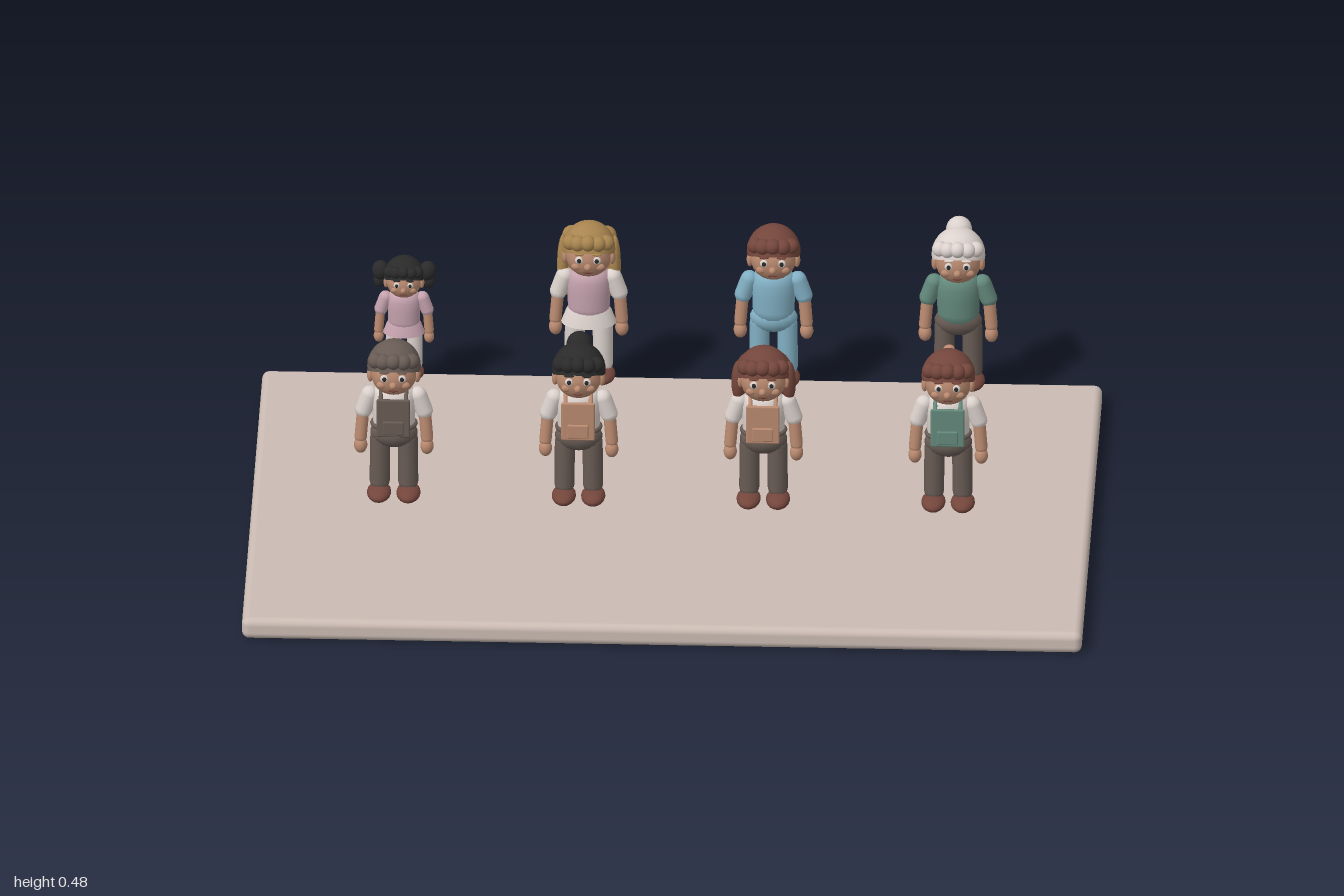
import * as THREE from 'three';
import { RoundedBoxGeometry } from 'three/addons/geometries/RoundedBoxGeometry.js';

const mat = (name, color, extra = {}) => {
  const m = new THREE.MeshStandardMaterial({ color, ...extra });
  m.name = name;
  return m;
};

export function createModel() {
  const two = { side: THREE.DoubleSide };
  const M = {
    base: mat('base beige', 0xcbbbb3),
    skin: mat('skin', 0xba8a70),
    auburn: mat('auburn', 0x74463c, two),
    taupe: mat('taupe', 0x685b54, two),
    black: mat('black', 0x2a2a2b, two),
    blond: mat('blond', 0xa8844f, two),
    white: mat('off white', 0xdcd2cd, two),
    green: mat('sage green', 0x64897c),
    blue: mat('soft blue', 0x82b0c4),
    pink: mat('dusty pink', 0xc6a3af, two),
  };
  const sphere = new THREE.SphereGeometry(1, 16, 11);

  const add = (g, name, geo, m, p = [0, 0, 0]) => {
    const mesh = new THREE.Mesh(geo, m);
    mesh.name = name;
    mesh.position.set(...p);
    g.add(mesh);
    return mesh;
  };
  const ball = (g, name, m, p, s) => {
    const mesh = add(g, name, sphere, m, p);
    mesh.scale.set(...(Array.isArray(s) ? s : [s, s, s]));
    return mesh;
  };
  // Rounded limb between two points
  const limb = (g, name, m, a, b, r) => {
    const A = new THREE.Vector3(...a), B = new THREE.Vector3(...b);
    const d = B.clone().sub(A);
    const mesh = add(g, name, new THREE.CapsuleGeometry(r, d.length(), 4, 12), m);
    mesh.position.copy(A).add(B).multiplyScalar(0.5);
    mesh.quaternion.setFromUnitVectors(new THREE.Vector3(0, 1, 0), d.normalize());
  };
  const lathe = (pts) => new THREE.LatheGeometry(pts.map(([x, y]) => new THREE.Vector2(x, y)), 24);

  const torsoGeo = lathe([[0, 0.17], [0.046, 0.172], [0.05, 0.2], [0.051, 0.24], [0.053, 0.27], [0.045, 0.293], [0.022, 0.304], [0, 0.305]]);
  const skirtGeo = lathe([[0.066, 0.155], [0.055, 0.185], [0.046, 0.2]]);
  const capGeo = new THREE.SphereGeometry(1, 24, 10, 0, Math.PI * 2, 0, Math.PI * 0.56);
  const panelGeo = new RoundedBoxGeometry(0.08, 0.1, 0.009, 2, 0.004);
  const pocketGeo = new RoundedBoxGeometry(0.05, 0.035, 0.008, 2, 0.003);

  function head(g, hair) {
    add(g, 'neck', new THREE.CylinderGeometry(0.02, 0.022, 0.04, 16), M.skin, [0, 0.3, 0]);
    ball(g, 'head', M.skin, [0, 0.338, 0.004], [0.056, 0.056, 0.054]);
    ball(g, 'nose', M.skin, [0, 0.329, 0.06], 0.009);
    ball(g, 'mouth', M.auburn, [0, 0.311, 0.051], [0.012, 0.003, 0.003]);
    for (const s of [-1, 1]) {
      ball(g, 'ear', M.skin, [s * 0.056, 0.333, 0.008], [0.008, 0.019, 0.011]);
      ball(g, 'eyeWhite', M.white, [s * 0.021, 0.344, 0.052], [0.01, 0.01, 0.005]);
      ball(g, 'pupil', M.black, [s * 0.021, 0.344, 0.056], [0.005, 0.006, 0.003]);
      ball(g, 'eyebrow', hair, [s * 0.021, 0.36, 0.053], [0.012, 0.003, 0.004]);
      ball(g, 'cheek', M.skin, [s * 0.028, 0.324, 0.046], [0.012, 0.009, 0.007]);
    }
  }

  function hairdo(g, m, style) {
    const cap = add(g, 'hairCap', capGeo, m, [0, 0.35, -0.004]);
    cap.scale.set(0.064, 0.066, 0.06);
    cap.rotation.x = -0.42;
    // Scalloped fringe
    for (let i = -2; i <= 2; i++) {
      const a = i * 0.46;
      ball(g, 'fringeCurl', m, [Math.sin(a) * 0.054, 0.385 - Math.abs(i) * 0.003, Math.cos(a) * 0.042 + 0.001], 0.019);
    }
    if (style === 'bun') ball(g, 'bun', m, [0, 0.397, -0.044], 0.031);
    if (style === 'long') {
      ball(g, 'longHair', m, [0, 0.33, -0.027], [0.074, 0.076, 0.036]);
      for (const s of [-1, 1]) ball(g, 'sideHair', m, [s * 0.06, 0.325, -0.005], [0.017, 0.055, 0.022]);
    }
    if (style === 'veryLong') {
      add(g, 'longHair', new RoundedBoxGeometry(0.13, 0.185, 0.05, 4, 0.024), m, [0, 0.298, -0.034]);
      for (const s of [-1, 1]) ball(g, 'sideHair', m, [s * 0.062, 0.3, -0.012], [0.014, 0.08, 0.018]);
    }
    if (style === 'ponytail') {
      ball(g, 'hairTie', M.skin, [0, 0.395, -0.055], [0.014, 0.011, 0.011]);
      ball(g, 'ponytail', m, [0, 0.318, -0.057], [0.031, 0.08, 0.026]);
    }
    if (style === 'pigtails') {
      for (const s of [-1, 1]) {
        ball(g, 'pigtail', m, [s * 0.074, 0.365, -0.012], [0.027, 0.032, 0.027]);
        ball(g, 'pigtailEnd', m, [s * 0.078, 0.33, -0.014], [0.018, 0.026, 0.018]);
      }
    }
  }

  function figure({ name, x, z, hair, style, top, sleeve, legs, apron, skirt, scale = 1 }) {
    const g = new THREE.Group();
    g.name = name;
    g.position.set(x, 0.054, z);
    g.scale.setScalar(scale);
    // Body
    add(g, 'torso', torsoGeo, top).scale.z = 0.78;
    ball(g, 'hips', skirt || legs, [0, 0.176, 0], [0.057, 0.037, 0.038]);
    if (skirt) add(g, 'skirt', skirtGeo, skirt).scale.z = 0.72;
    // Limbs
    for (const s of [-1, 1]) {
      limb(g, 'leg', legs, [s * 0.033, 0.16, 0], [s * 0.034, 0.045, 0], 0.024);
      ball(g, 'shoe', M.auburn, [s * 0.035, 0.021, 0.014], [0.029, 0.018, 0.047]);
      limb(g, 'sleeve', sleeve, [s * 0.058, 0.276, 0], [s * 0.072, 0.235, 0], 0.021);
      limb(g, 'forearm', M.skin, [s * 0.074, 0.225, 0.002], [s * 0.079, 0.165, 0.006], 0.015);
      ball(g, 'hand', M.skin, [s * 0.079, 0.144, 0.008], [0.016, 0.021, 0.017]);
    }
    // Apron with pocket, waistband and back knot
    if (apron) {
      add(g, 'apronPanel', panelGeo, apron, [0, 0.236, 0.047]);
      add(g, 'apronPocket', pocketGeo, apron, [0, 0.212, 0.053]);
      const band = add(g, 'waistband', new THREE.TorusGeometry(0.051, 0.006, 8, 24), M.taupe, [0, 0.2, 0]);
      band.rotation.x = Math.PI / 2;
      band.scale.y = 0.8;
      for (const s of [-1, 1]) {
        ball(g, 'apronKnot', M.taupe, [s * 0.012, 0.2, -0.045], [0.013, 0.008, 0.006]);
        limb(g, 'apronStrap', apron, [s * 0.03, 0.282, 0.04], [s * 0.03, 0.302, 0.008], 0.005);
      }
    }
    head(g, hair);
    hairdo(g, hair, style);
    return g;
  }

  const model = new THREE.Group();
  model.name = 'figureSet';
  add(model, 'basePlate', new RoundedBoxGeometry(2, 0.054, 1.295, 4, 0.018), M.base, [0, 0.027, 0.0225]);

  const front = 0.024, back = -0.602;
  const X = [-0.662, -0.222, 0.218, 0.658];
  const worker = { z: front, top: M.white, sleeve: M.white, legs: M.taupe };
  const people = [
    { ...worker, name: 'shortHairedWorker', x: X[0], hair: M.taupe, style: 'short', apron: M.taupe },
    { ...worker, name: 'bunWorker', x: X[1], hair: M.black, style: 'bun', apron: M.skin },
    { ...worker, name: 'longHairedWorker', x: X[2], hair: M.auburn, style: 'long', apron: M.skin },
    { ...worker, name: 'ponytailWorker', x: X[3], hair: M.auburn, style: 'ponytail', apron: M.green },
    { name: 'child', x: X[0], z: back, hair: M.black, style: 'pigtails', top: M.pink, sleeve: M.pink, legs: M.white, skirt: M.pink, scale: 0.76 },
    { name: 'blondVisitor', x: X[1], z: back, hair: M.blond, style: 'veryLong', top: M.pink, sleeve: M.white, legs: M.white, skirt: M.white },
    { name: 'blueVisitor', x: X[2], z: back, hair: M.auburn, style: 'short', top: M.blue, sleeve: M.blue, legs: M.blue },
    { name: 'elderVisitor', x: X[3], z: back, hair: M.white, style: 'bun', top: M.green, sleeve: M.green, legs: M.taupe },
  ];
  for (const p of people) model.add(figure(p));
  return model;
}
